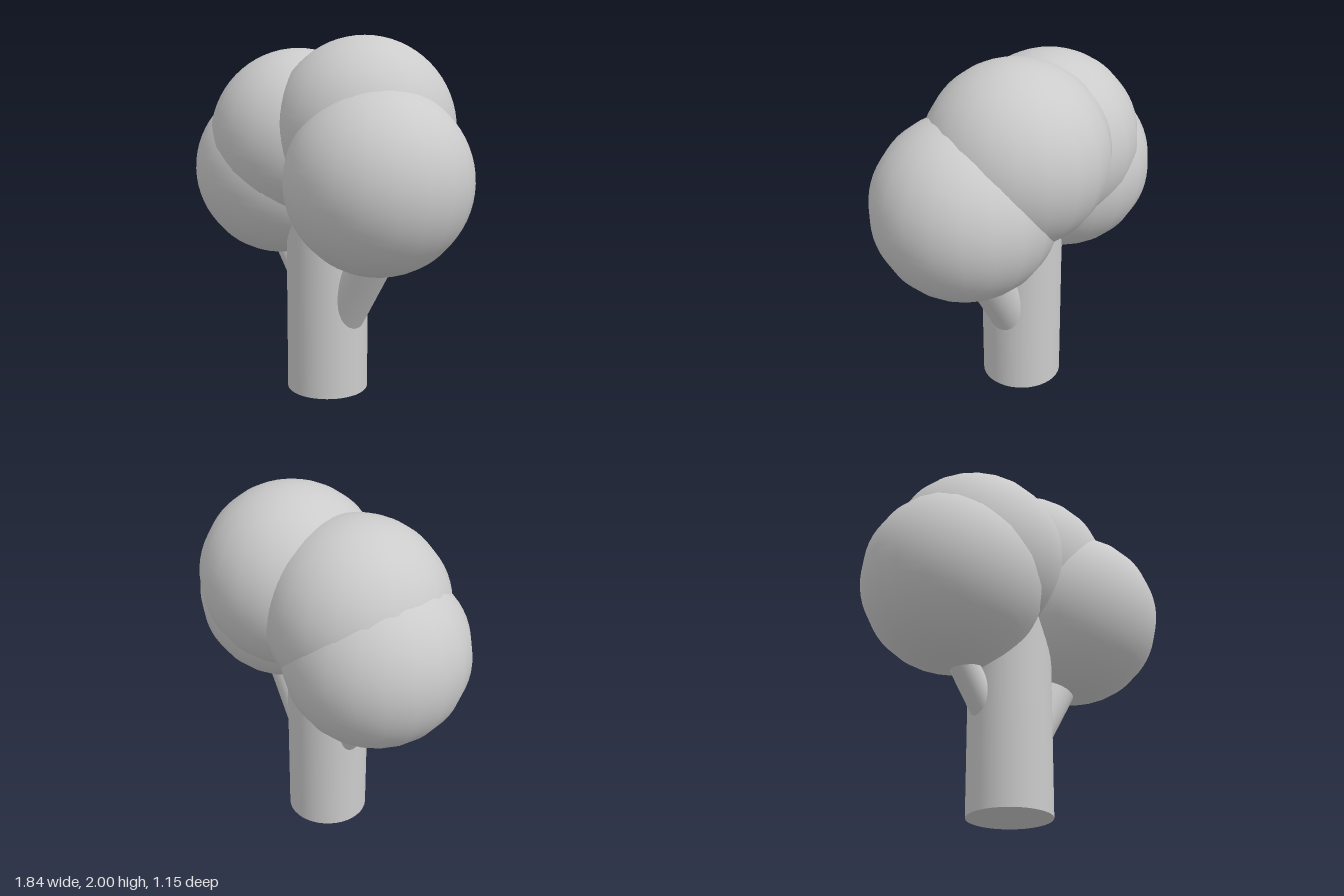
import * as THREE from 'three';

const material = new THREE.MeshStandardMaterial({ color: 0xcccccc });

// Cylinder running between two points
function limb(name, radius, from, to, segments) {
  const a = new THREE.Vector3(...from);
  const b = new THREE.Vector3(...to);
  const axis = b.clone().sub(a);
  const mesh = new THREE.Mesh(new THREE.CylinderGeometry(radius, radius, axis.length(), segments), material);
  mesh.name = name;
  mesh.position.copy(a).add(b).multiplyScalar(0.5);
  mesh.quaternion.setFromUnitVectors(new THREE.Vector3(0, 1, 0), axis.normalize());
  return mesh;
}

export function createModel() {
  const tree = new THREE.Group();
  tree.name = 'tree';

  // Trunk and two side branches
  tree.add(
    limb('trunk', 0.23, [-0.02, 0, 0.015], [-0.02, 1.2, 0.015], 40),
    limb('leftBranch', 0.12, [0.05, 0.36, 0.01], [0.36, 0.87, 0.01], 32),
    limb('rightBranch', 0.08, [-0.1, 0.44, 0.01], [-0.38, 0.83, 0.01], 32),
  );

  // Four overlapping balls of foliage
  const foliage = new THREE.Group();
  foliage.name = 'foliage';
  const ball = new THREE.SphereGeometry(0.5, 20, 32);
  const clumps = {
    lowerRightFoliage: [-0.42, 1.235, 0],
    upperRightFoliage: [-0.27, 1.425, 0],
    topFoliage: [0.17, 1.5, -0.08],
    lowerLeftFoliage: [0.42, 1.255, 0.07],
  };
  for (const [name, position] of Object.entries(clumps)) {
    const mesh = new THREE.Mesh(ball, material);
    mesh.name = name;
    mesh.position.set(...position);
    foliage.add(mesh);
  }
  tree.add(foliage);
  return tree;
}
